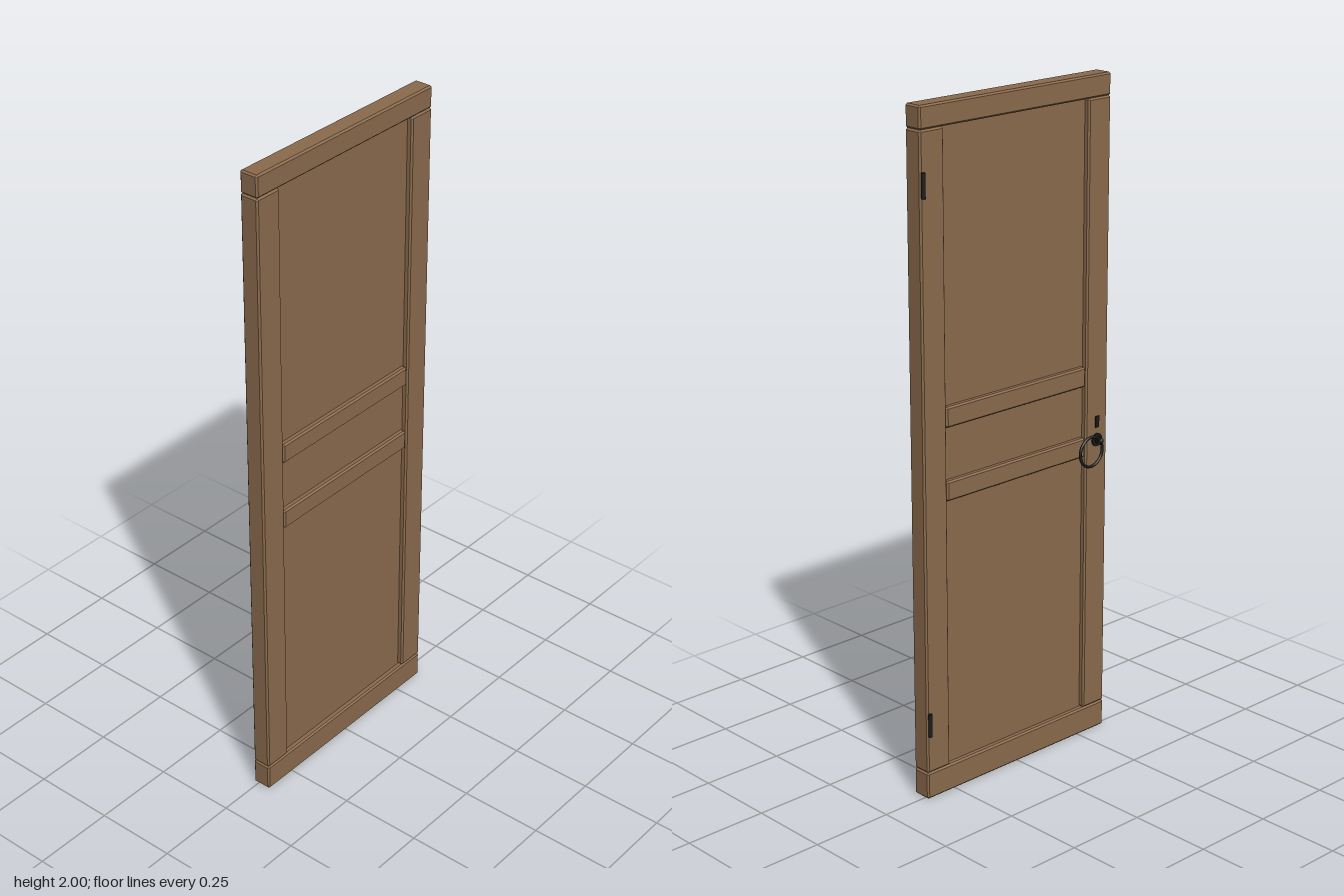
import * as THREE from 'three';
import { ConvexGeometry } from 'three/addons/geometries/ConvexGeometry.js';

const wood = new THREE.MeshStandardMaterial({ color: 0x8b6b4d });
wood.name = 'brown wood';
const iron = new THREE.MeshStandardMaterial({ color: 0x1c1c1c });
iron.name = 'black iron';

// Box between two corners with all edges chamfered by c
function chamferedBox([x0, y0, z0], [x1, y1, z1], c) {
  const h = [(x1 - x0) / 2, (y1 - y0) / 2, (z1 - z0) / 2];
  const points = [];
  for (const sx of [-1, 1]) for (const sy of [-1, 1]) for (const sz of [-1, 1]) {
    for (let full = 0; full < 3; full++) {
      const p = h.map((v, i) => (i === full ? v : v - c));
      points.push(new THREE.Vector3(p[0] * sx, p[1] * sy, p[2] * sz));
    }
  }
  return new ConvexGeometry(points).translate((x0 + x1) / 2, (y0 + y1) / 2, (z0 + z1) / 2);
}

export function createModel() {
  const door = new THREE.Group();
  door.name = 'door';

  const add = (name, geometry, material, x = 0, y = 0, z = 0) => {
    const mesh = new THREE.Mesh(geometry, material);
    mesh.name = name;
    mesh.position.set(x, y, z);
    door.add(mesh);
    return mesh;
  };

  const X0 = -0.016, X1 = 0.042, Z0 = -0.355, Z1 = 0.357, C = 0.005;
  const beam = (name, y0, y1, z0, z1, inset = 0) =>
    add(name, chamferedBox([X0 + inset, y0, z0], [X1 - inset, y1, z1], C), wood);

  // Frame: rails across the top and bottom, stiles between them
  beam('topRail', 1.935, 2, Z0, Z1);
  beam('bottomRail', 0, 0.082, Z0, Z1);
  beam('hingeStile', 0.082, 1.935, Z0, -0.27);
  beam('latchStile', 0.082, 1.935, 0.27, Z1);

  // Middle rails
  beam('upperMiddleRail', 1.1, 1.16, -0.269, 0.269, 0.001);
  beam('lowerMiddleRail', 0.886, 0.945, -0.269, 0.269, 0.001);

  // Two recessed planks meeting at the centre
  for (const side of [-1, 1]) {
    add('panelPlank', new THREE.BoxGeometry(0.024, 1.88, 0.28), wood, 0.013, 1.008, side * 0.14 + 0.003);
  }

  // Hinge pins
  for (const y of [0.236, 1.79]) {
    add('hingePin', new THREE.CylinderGeometry(0.006, 0.006, 0.07, 12), iron, -0.025, y, -0.352);
  }

  // Ring handle: back plate, spindle, knob and hanging ring
  const disc = (name, r, length, x, y, z) => {
    add(name, new THREE.CylinderGeometry(r, r, length, 16), iron, x, y, z).rotation.z = Math.PI / 2;
  };
  const py = 0.93, pz = 0.314;
  disc('handlePlate', 0.02, 0.004, -0.018, py, pz);
  disc('handleCollar', 0.011, 0.006, -0.022, py, pz);
  disc('handleSpindle', 0.006, 0.02, -0.028, py, pz);
  add('handleKnob', new THREE.SphereGeometry(0.009, 12, 8), iron, -0.033, py, pz);
  const ring = add('handleRing', new THREE.TorusGeometry(0.045, 0.0045, 8, 32), iron, -0.033, 0.905, 0.276);
  ring.rotation.y = Math.PI / 2;

  // Keyhole plate above the handle
  const plate = new THREE.BoxGeometry(0.004, 0.034, 0.014);
  add('keyholePlate', plate, iron, -0.018, 0.985, pz);

  return door;
}
